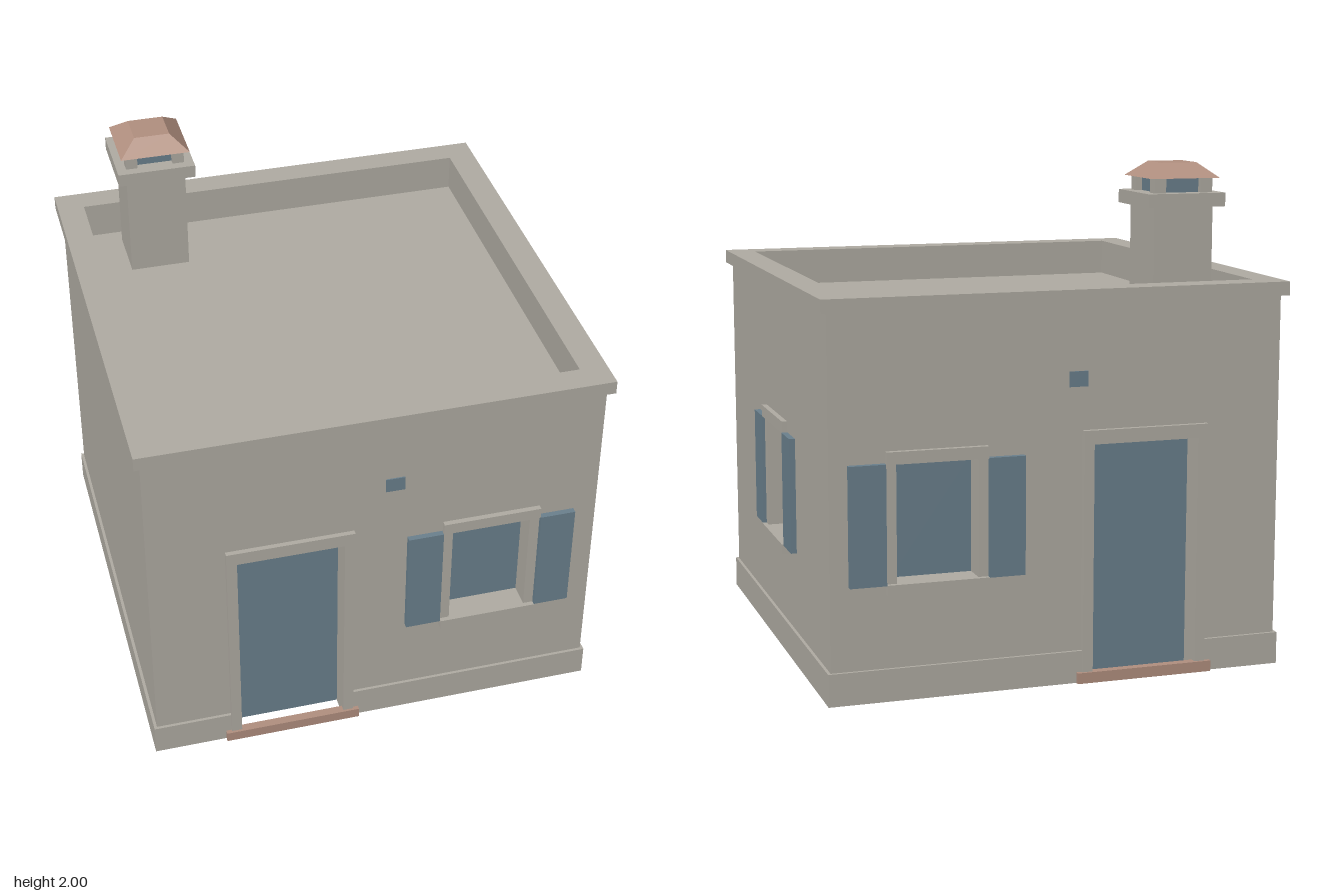
import * as THREE from 'three';

const mat = (name, color) => new THREE.MeshStandardMaterial({ name, color, side: THREE.DoubleSide });

const WALL = 0.91;   // distance of each wall from the centre
const INNER = 0.825; // inner face of parapet, and plane of the door and window panels
const EAVES = 1.49;
const TOP = 1.545;

export function createModel() {
  const stone = mat('stone', 0xb1ada4);
  const blue = mat('paintedBlue', 0x6b818e);
  const clay = mat('terracotta', 0xb29080);

  const add = (parent, name, geometry, material) => {
    const mesh = new THREE.Mesh(geometry, material);
    mesh.name = name;
    parent.add(mesh);
    return mesh;
  };
  // Box given by its limits on each axis
  const box = (parent, name, material, x0, x1, y0, y1, z0, z1) => {
    const mesh = add(parent, name, new THREE.BoxGeometry(x1 - x0, y1 - y0, z1 - z0), material);
    mesh.position.set((x0 + x1) / 2, (y0 + y1) / 2, (z0 + z1) / 2);
    return mesh;
  };
  const group = (parent, name) => {
    const g = new THREE.Group();
    g.name = name;
    parent.add(g);
    return g;
  };
  const rect = (Type, x0, x1, y0, y1) => new Type(
    [[x0, y0], [x1, y0], [x1, y1], [x0, y1]].map(p => new THREE.Vector2(...p)));

  // Horizontal square ring between two heights
  const ring = (parent, name, outer, inner, y0, y1) => {
    const shape = rect(THREE.Shape, -outer, outer, -outer, outer);
    shape.holes.push(rect(THREE.Path, -inner, inner, -inner, inner));
    const g = new THREE.ExtrudeGeometry(shape, { depth: y1 - y0, bevelEnabled: false });
    add(parent, name, g.rotateX(-Math.PI / 2), stone).position.y = y0;
  };

  // Shuttered window, centred on cx, on a wall facing local +z
  const windowUnit = (parent, cx) => {
    const g = group(parent, 'window');
    g.position.x = cx;
    const y0 = 0.458, y1 = 0.917;
    const frame = rect(THREE.Shape, -0.2, 0.2, y0 - 0.02, y1 + 0.02);
    frame.holes.push(rect(THREE.Path, -0.16, 0.16, y0, y1));
    add(g, 'windowFrame', new THREE.ExtrudeGeometry(frame, { depth: 0.92 - INNER, bevelEnabled: false }), stone)
      .position.z = INNER;
    box(g, 'windowPane', blue, -0.16, 0.16, y0, y1, INNER - 0.008, INNER);
    box(g, 'lintel', stone, -0.2, 0.2, y1, 0.965, WALL - 0.01, 0.932);
    box(g, 'sill', stone, -0.2, 0.2, 0.418, y0, WALL - 0.01, 0.939);
    for (const s of [-1, 1]) {
      const a = s * 0.202, b = s * 0.345;
      box(g, 'shutter', blue, Math.min(a, b), Math.max(a, b), y0 - 0.003, y1 + 0.003, WALL, 0.934);
    }
  };

  // Doorway with surround, recessed door and doorstep
  const doorUnit = (parent, cx) => {
    const g = group(parent, 'doorway');
    g.position.x = cx;
    const surround = new THREE.Shape([
      [-0.257, 0], [-0.215, 0], [-0.215, 0.945], [0.215, 0.945],
      [0.215, 0], [0.257, 0], [0.257, 1], [-0.257, 1],
    ].map(p => new THREE.Vector2(...p)));
    add(g, 'doorSurround', new THREE.ExtrudeGeometry(surround, { depth: 0.93 - INNER, bevelEnabled: false }), stone)
      .position.z = INNER;
    box(g, 'door', blue, -0.215, 0.215, 0, 0.945, INNER - 0.008, INNER);
    box(g, 'doorstep', clay, -0.28, 0.28, 0, 0.043, WALL - 0.005, 0.94);
  };

  // One wall with its openings and plinth, facing local +z
  const wall = (parent, name, turn, { door, window, vent } = {}) => {
    const g = group(parent, name);
    g.rotation.y = turn;
    const hasDoor = door !== undefined;
    const notch = hasDoor
      ? [[door - 0.215, 0], [door - 0.215, 0.945], [door + 0.215, 0.945], [door + 0.215, 0]] : [];
    const outline = new THREE.Shape(
      [[-WALL, 0], ...notch, [WALL, 0], [WALL, EAVES], [-WALL, EAVES]].map(p => new THREE.Vector2(...p)));
    if (window !== undefined) {
      outline.holes.push(rect(THREE.Path, window - 0.16, window + 0.16, 0.458, 0.917));
      windowUnit(g, window);
    }
    add(g, 'wallFace', new THREE.ShapeGeometry(outline), stone).position.z = WALL;
    // Plinth stops either side of the doorway
    const spans = hasDoor ? [[-0.922, door - 0.257], [door + 0.257, 0.922]] : [[-0.922, 0.922]];
    for (const [a, b] of spans) box(g, 'plinth', stone, a, b, 0, 0.128, WALL, 0.922);
    if (hasDoor) doorUnit(g, door);
    if (vent !== undefined) box(g, 'vent', blue, vent - 0.038, vent + 0.038, 1.17, 1.23, WALL - 0.003, WALL + 0.005);
  };

  const house = new THREE.Group();
  house.name = 'house';
  const body = group(house, 'body');
  body.position.x = -0.004;

  wall(body, 'frontWall', 0, { door: -0.347, window: 0.472, vent: 0.072 });
  wall(body, 'leftWall', Math.PI / 2, { window: 0 });
  wall(body, 'backWall', Math.PI, { door: 0.347, window: -0.492, vent: 0.072 });
  wall(body, 'rightWall', -Math.PI / 2);

  // Flat roof behind a parapet with a projecting coping
  ring(body, 'coping', 0.936, INNER, EAVES, TOP);
  ring(body, 'parapet', WALL - 0.005, INNER, 1.39, EAVES);
  box(body, 'roofDeck', stone, -INNER, INNER, 1.38, 1.395, -INNER, INNER);

  // Chimney with slab, corner posts, flue and hipped cap
  const chimney = group(house, 'chimney');
  chimney.position.set(-0.56, 0, -0.638);
  box(chimney, 'stack', stone, -0.123, 0.123, 1.39, 1.835, -0.123, 0.123);
  box(chimney, 'slab', stone, -0.16, 0.16, 1.832, 1.885, -0.16, 0.16);
  box(chimney, 'flue', blue, -0.095, 0.095, 1.885, 1.945, -0.095, 0.095);
  for (const x of [-0.097, 0.097]) for (const z of [-0.097, 0.097])
    box(chimney, 'capPost', stone, x - 0.024, x + 0.024, 1.885, 1.945, z - 0.024, z + 0.024);
  const r = Math.SQRT2;
  const cap = new THREE.CylinderGeometry(0.073 * r, 0.143 * r, 0.058, 4, 1).rotateY(Math.PI / 4).toNonIndexed();
  cap.computeVertexNormals();
  add(chimney, 'chimneyCap', cap, clay).position.y = 1.971;

  return house;
}
